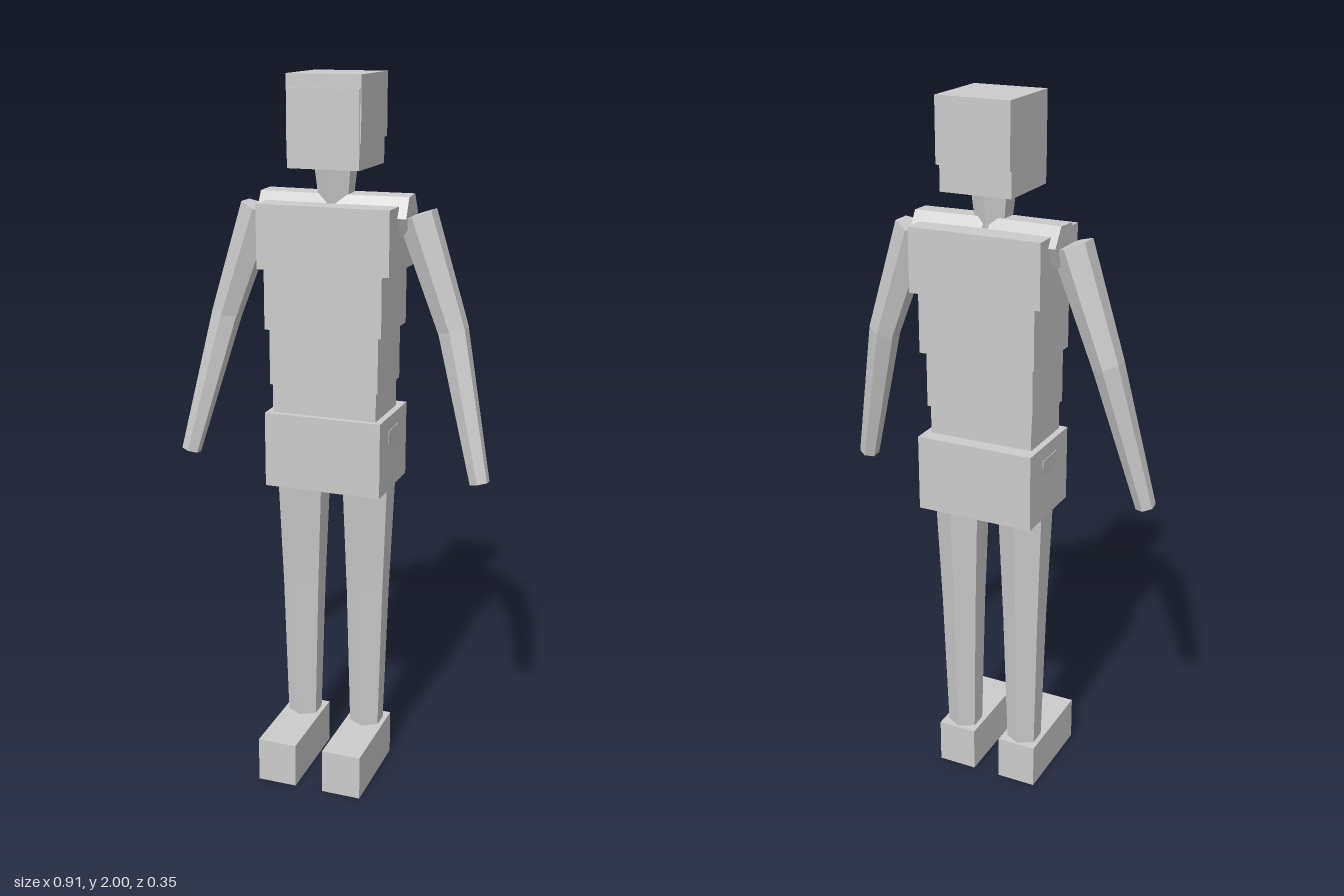
import * as THREE from 'three';

const grey = new THREE.MeshStandardMaterial({ color: 0xcccccc });
grey.name = 'plain grey';
grey.flatShading = true;

function add(group, name, geometry) {
  const mesh = new THREE.Mesh(geometry, grey);
  mesh.name = name;
  group.add(mesh);
  return mesh;
}

// Box given by its ranges on each axis
function block(group, name, [x0, x1], [y0, y1], [z0, z1]) {
  add(group, name, new THREE.BoxGeometry(x1 - x0, y1 - y0, z1 - z0))
    .position.set((x0 + x1) / 2, (y0 + y1) / 2, (z0 + z1) / 2);
}

// Tapered six-sided limb from point a to point b, with an edge facing the front
function limb(group, name, a, b, ra, rb) {
  const start = new THREE.Vector3(...a), end = new THREE.Vector3(...b);
  const dir = end.clone().sub(start);
  const mesh = add(group, name, new THREE.CylinderGeometry(ra, rb, dir.length(), 6).toNonIndexed());
  mesh.geometry.computeVertexNormals();
  mesh.position.copy(start).add(end).multiplyScalar(0.5);
  mesh.quaternion.setFromUnitVectors(new THREE.Vector3(0, 1, 0), dir.normalize().negate());
}

export function createModel() {
  const model = new THREE.Group();
  model.name = 'blockFigure';

  // Head: skull cap over a slightly smaller face block
  block(model, 'skull', [-0.103, 0.103], [1.83, 2], [-0.168, 0.047]);
  block(model, 'face', [-0.1, 0.1], [1.76, 1.965], [-0.154, 0.052]);
  limb(model, 'neck', [0, 1.78, -0.05], [0, 1.64, -0.052], 0.061, 0.044);

  // Torso, from the chest down
  block(model, 'upperChest', [-0.187, 0.187], [1.49, 1.665], [-0.17, 0.062]);
  block(model, 'lowerChest', [-0.167, 0.167], [1.325, 1.5], [-0.159, 0.06]);
  block(model, 'upperWaist', [-0.156, 0.156], [1.17, 1.33], [-0.142, 0.052]);
  block(model, 'lowerWaist', [-0.15, 0.15], [1.08, 1.18], [-0.134, 0.047]);
  block(model, 'pelvis', [-0.168, 0.168], [0.877, 1.09], [-0.177, 0.064]);

  // Mirrored limbs
  for (const [side, s] of [['left', 1], ['right', -1]]) {
    limb(model, side + 'Shoulder', [0.01 * s, 1.637, -0.056], [0.209 * s, 1.637, -0.064], 0.061, 0.061);
    limb(model, side + 'UpperArm', [0.225 * s, 1.64, -0.061], [0.333 * s, 1.333, -0.06], 0.055, 0.043);
    limb(model, side + 'Forearm', [0.331 * s, 1.339, -0.06], [0.431 * s, 0.932, -0.006], 0.043, 0.028);
    limb(model, side + 'Thigh', [0.098 * s, 1.05, -0.056], [0.098 * s, 0.57, -0.055], 0.083, 0.063);
    limb(model, side + 'Shin', [0.098 * s, 0.58, -0.055], [0.098 * s, 0.1, -0.053], 0.063, 0.049);
    block(model, side + 'Foot', [0.098 * s - 0.057, 0.098 * s + 0.057], [0, 0.13], [-0.109, 0.175]);
  }
  return model;
}
